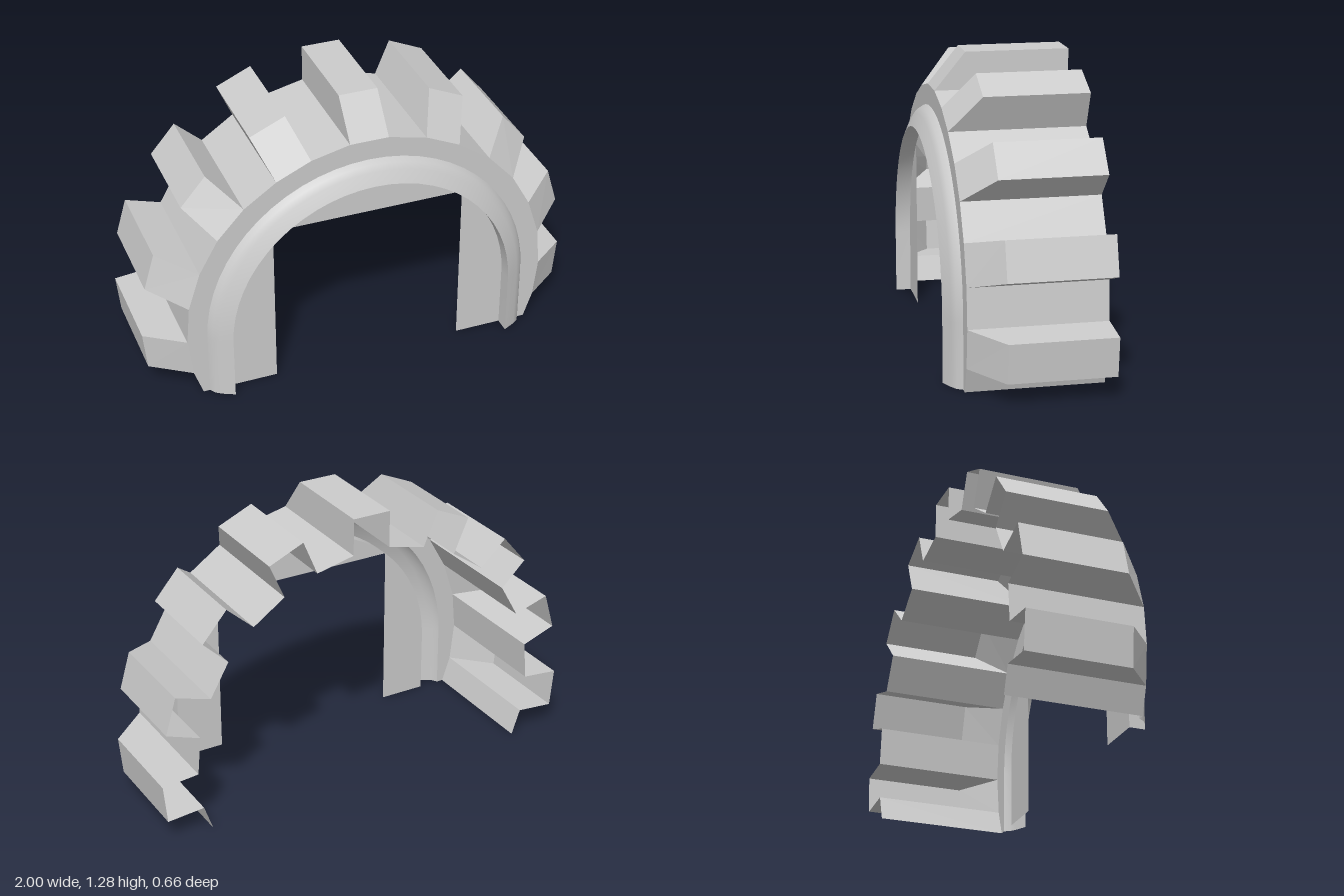
import * as THREE from 'three';

const BACK = -0.33, SHOULDER = 0.125, PLATE = 0.26, FACE = 0.33;

const flat = new THREE.MeshStandardMaterial({ color: 0xcccccc, flatShading: true, side: THREE.DoubleSide });
const smooth = new THREE.MeshStandardMaterial({ color: 0xcccccc, side: THREE.DoubleSide });

// Right half of the cogged outline, top to foot: [x, y, isToothTip]
const half = [
  [0.087, 1.285, 1], [0.087, 1.12, 0],
  [0.26, 1.08, 0], [0.325, 1.235, 1], [0.483, 1.165, 1], [0.415, 1.01, 0],
  [0.56, 0.91, 0], [0.682, 1.02, 1], [0.793, 0.89, 1], [0.68, 0.78, 0],
  [0.765, 0.63, 0], [0.925, 0.68, 1], [0.973, 0.515, 1], [0.82, 0.46, 0],
  [0.835, 0.288, 0], [1.0, 0.272, 1], [0.983, 0.10, 1], [0.815, 0.115, 0],
  [0.775, 0, 0],
];
const outline = [...half.map(([x, y, t]) => [-x, y, t]).reverse(), ...half];

// Arch line from left foot over the top to right foot
function arch(radius, n = 30) {
  const pts = [[-radius, 0]];
  for (let i = 0; i <= n; i++) {
    const a = Math.PI * (1 - i / n);
    pts.push([radius * Math.cos(a), 0.285 + radius * Math.sin(a)]);
  }
  pts.push([radius, 0]);
  return pts;
}

// Surface through rows of 3D points, ordered from back to front
function loft(rows) {
  const n = rows[0].length, index = [];
  for (let r = 0; r < rows.length - 1; r++) {
    for (let i = 0; i < n - 1; i++) {
      const a = r * n + i, b = a + n;
      index.push(a, b, b + 1, a, b + 1, a + 1);
    }
  }
  const geo = new THREE.BufferGeometry();
  geo.setAttribute('position', new THREE.Float32BufferAttribute(rows.flat(2), 3));
  geo.setIndex(index);
  geo.computeVertexNormals();
  return geo;
}

// Flat sheet at the plate depth inside a closed loop
function sheet(loop) {
  const shape = new THREE.Shape(loop.map(([x, y]) => new THREE.Vector2(x, y)));
  return new THREE.ShapeGeometry(shape).translate(0, 0, PLATE);
}

export function createModel() {
  const group = new THREE.Group();
  const add = (name, geo, mat = flat) => {
    const mesh = new THREE.Mesh(geo, mat);
    mesh.name = name;
    group.add(mesh);
  };

  // Cogged rim, open at the back
  add('cogRim', loft([
    outline.map(([x, y]) => [x, y, BACK]),
    outline.map(([x, y, tip]) => [x, y, tip ? SHOULDER : PLATE]),
  ]));

  // Sloped front of each tooth, from root to tip
  for (let i = 0; i < outline.length - 1; i++) {
    if (!outline[i][2] || !outline[i + 1][2]) continue;
    const at = (k, z) => [outline[k][0], outline[k][1], z];
    add('toothBevel', loft([
      [at(i, SHOULDER), at(i + 1, SHOULDER)],
      [at(i - 1, PLATE), at(i + 2, PLATE)],
    ]));
  }

  // Front plate between the tooth roots and the raised arch
  const roots = outline.filter(p => !p[2]);
  add('frontPlate', sheet([...roots, ...arch(0.745).reverse()]));

  // Raised arch: rounded outer shoulder and straight inner wall
  const ring = (r, z) => arch(r).map(([x, y]) => [x, y, z]);
  add('archShoulder', loft([
    ring(0.745, PLATE), ring(0.73, 0.285), ring(0.705, 0.303), ring(0.65, FACE),
  ]), smooth);
  add('archInnerWall', loft([ring(0.65, FACE), ring(0.65, PLATE)]), smooth);

  // Recessed panels inside the arch, leaving a square opening
  const inner = arch(0.65);
  const [cornerX, cornerY] = inner[23];
  const eps = 1e-4;
  add('crownPanel', sheet(inner.filter(p => p[1] > cornerY - eps)));
  for (const side of [-1, 1]) {
    const edge = inner.filter(p => p[0] * side > cornerX - eps);
    add('legPanel', sheet([...edge, [side * cornerX, 0]]));
  }

  return group;
}
